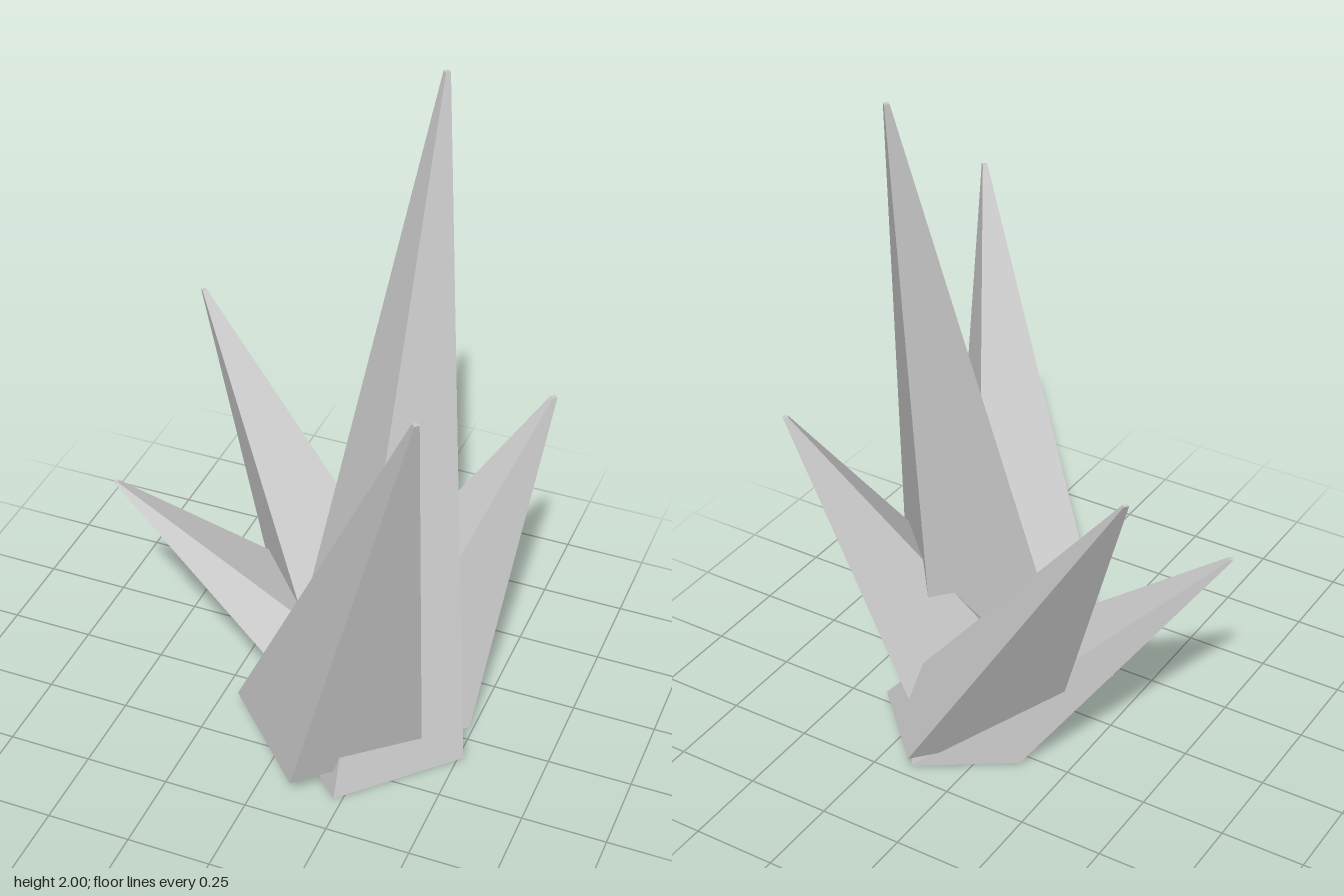
import * as THREE from 'three';

// Each shard: parallelogram base at height y, given by its front, right and back
// corners [x, z], tapering to a tiny blunt tip [x, y, z].
const SHARDS = [
  { name: 'tallShard', y: 0.005, front: [0.225, 0.38], right: [0.515, 0.08], back: [0.22, -0.21], tip: [0.253, 2, -0.317] },
  { name: 'frontShard', y: 0.07, front: [0.112, 0.432], right: [0.407, 0.145], back: [0.115, -0.152], tip: [0.473, 1.455, 0.478] },
  { name: 'backLeaningShard', y: 0.055, front: [0.08, 0.056], right: [0.365, -0.265], back: [0.14, -0.488], tip: [-0.505, 1.1, -0.403] },
  { name: 'backSideShard', y: 0.02, front: [0.19, 0.27], right: [0.493, -0.037], back: [0.186, -0.335], tip: [0.582, 1.01, -0.388] },
  { name: 'lowShard', y: 0.01, front: [0.125, 0.13], right: [0.385, -0.045], back: [0.145, -0.465], tip: [-0.587, 0.69, 0.06] },
];

const TIP_SCALE = 0.035;

function shardGeometry({ y, front, right, back, tip }) {
  const left = [front[0] + back[0] - right[0], front[1] + back[1] - right[1]];
  const cx = (front[0] + back[0]) / 2;
  const cz = (front[1] + back[1]) / 2;
  const ring = [front, right, back, left];
  const points = [];
  for (const [x, z] of ring) points.push(x, y, z);
  for (const [x, z] of ring) {
    points.push(tip[0] + (x - cx) * TIP_SCALE, tip[1], tip[2] + (z - cz) * TIP_SCALE);
  }

  // Base, blunt tip, then the four sides
  const faces = [0, 2, 1, 0, 3, 2, 4, 5, 6, 4, 6, 7];
  for (let i = 0; i < 4; i++) {
    const j = (i + 1) % 4;
    faces.push(i, j, j + 4, i, j + 4, i + 4);
  }
  const indexed = new THREE.BufferGeometry();
  indexed.setAttribute('position', new THREE.Float32BufferAttribute(points, 3));
  indexed.setIndex(faces);
  const geometry = indexed.toNonIndexed();
  geometry.computeVertexNormals();
  return geometry;
}

export function createModel() {
  const group = new THREE.Group();
  group.name = 'crystalCluster';
  const material = new THREE.MeshStandardMaterial({ color: 0xcccccc, flatShading: true });
  for (const shard of SHARDS) {
    const mesh = new THREE.Mesh(shardGeometry(shard), material);
    mesh.name = shard.name;
    group.add(mesh);
  }
  return group;
}
